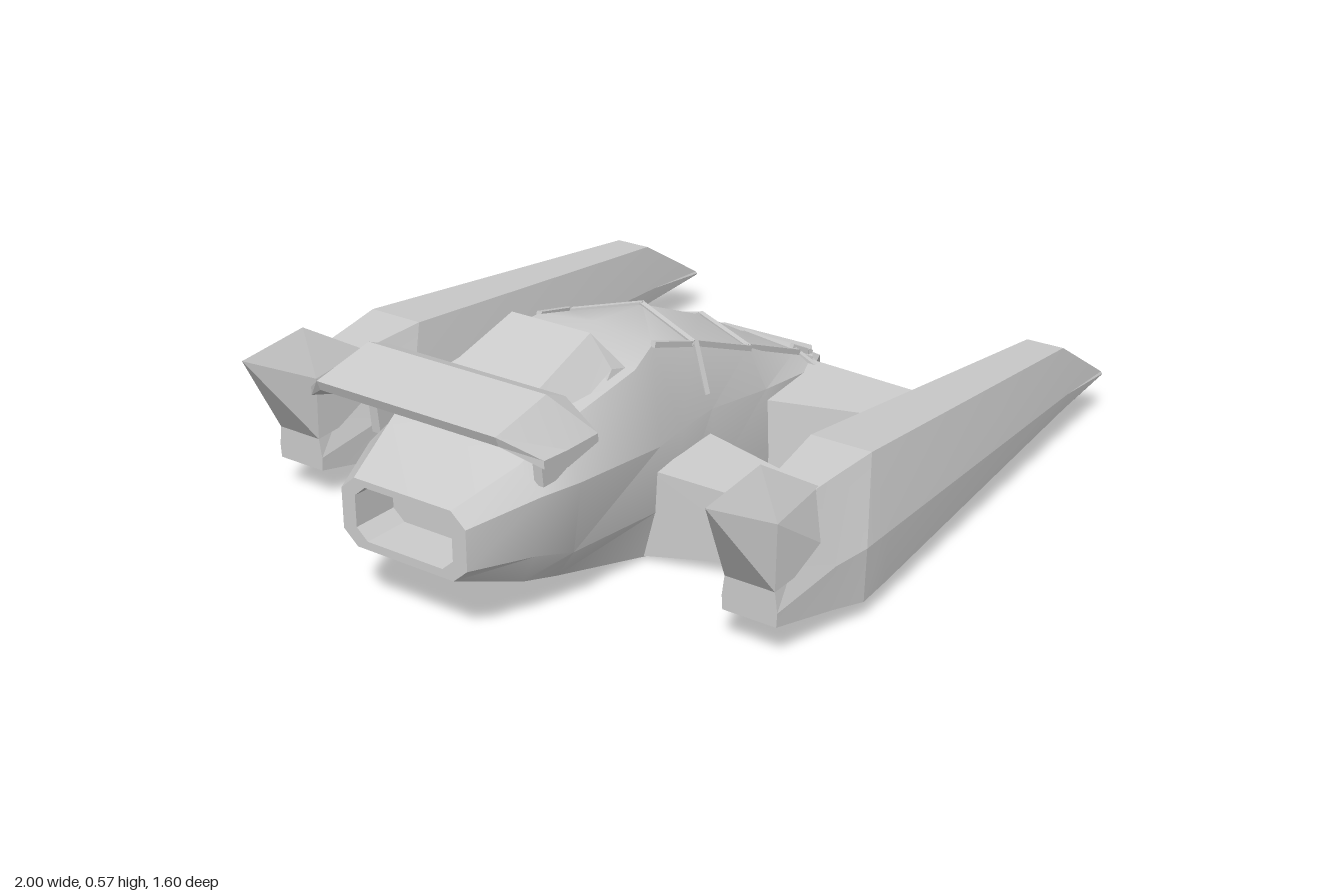
import * as THREE from 'three';
import { toCreasedNormals } from 'three/addons/utils/BufferGeometryUtils.js';
import { ConvexGeometry } from 'three/addons/geometries/ConvexGeometry.js';

const grey = new THREE.MeshStandardMaterial({ color: 0xcccccc, side: THREE.DoubleSide });

// Turns a list of polygons (arrays of [x,y,z]) into a geometry
function polys(faces, crease = 0.3) {
  const pos = [];
  for (const f of faces)
    for (let i = 1; i < f.length - 1; i++) pos.push(...f[0], ...f[i], ...f[i + 1]);
  const g = new THREE.BufferGeometry();
  g.setAttribute('position', new THREE.Float32BufferAttribute(pos, 3));
  return toCreasedNormals(g, crease);
}

// Skin between rings; skip(j, i) leaves out a side face
function loftFaces(rings, { start = true, end = true, skip = () => false } = {}) {
  const faces = [], n = rings[0].length;
  for (let j = 0; j < rings.length - 1; j++)
    for (let i = 0; i < n; i++) {
      const k = (i + 1) % n;
      if (!skip(j, i)) faces.push([rings[j][i], rings[j + 1][i], rings[j + 1][k], rings[j][k]]);
    }
  if (start) faces.push([...rings[0]]);
  if (end) faces.push([...rings[rings.length - 1]].reverse());
  return faces;
}

// Frame, walls and floor of a recess in the polygon c
function insetFaces(c, s, depth) {
  const v = c.map(p => new THREE.Vector3(...p));
  const mid = v.reduce((a, p) => a.add(p), new THREE.Vector3()).divideScalar(v.length);
  const normal = new THREE.Vector3();
  v.forEach((p, i) => normal.add(p.clone().sub(mid).cross(v[(i + 1) % v.length].clone().sub(mid))));
  normal.normalize();
  const inner = v.map(p => mid.clone().lerp(p, s));
  const floor = inner.map(p => p.clone().addScaledVector(normal, -depth).toArray());
  const rim = inner.map(p => p.toArray());
  const faces = [floor];
  c.forEach((p, i) => {
    const k = (i + 1) % c.length;
    faces.push([p, c[k], rim[k], rim[i]], [rim[i], rim[k], floor[k], floor[i]]);
  });
  return faces;
}

// Mirrored ring across z from half profile pairs [z, y], bottom to top
function ring(x, half, dx = 0, cz = 0) {
  const right = half.map(([z, y]) => [x + (z === 0 ? dx : 0), y, cz + z]);
  const left = half.filter(([z]) => z !== 0).reverse().map(([z, y]) => [x, y, cz - z]);
  return [...right, ...left];
}

function add(parent, name, geometry) {
  const m = new THREE.Mesh(geometry, grey);
  m.name = name;
  parent.add(m);
  return m;
}

const convex = (pts, s = 1) => new ConvexGeometry(pts.map(([x, y, z]) => new THREE.Vector3(x, y, z * s)));

// Slim square rib between two points
function rib(parent, name, a, b, t = 0.014) {
  const A = new THREE.Vector3(...a), B = new THREE.Vector3(...b);
  const m = add(parent, name, new THREE.BoxGeometry(t, t, A.distanceTo(B) + t * 0.5));
  m.position.copy(A).add(B).multiplyScalar(0.5);
  m.lookAt(B);
}

export function createModel() {
  const model = new THREE.Group();
  const craft = new THREE.Group();
  craft.name = 'craft';
  craft.rotation.y = 0.022;
  model.add(craft);

  // Hull with canopy: x, forward offset of the centre line, half profile
  const hull = [
    [-1.0, 0, [[.14, .165], [.18, .2], [.18, .3], [.14, .335], [0, .335]]],
    [-.83, 0, [[.19, .105], [.23, .18], [.25, .33], [.19, .39], [0, .4]]],
    [-.72, 0, [[.2, .075], [.25, .15], [.275, .33], [.21, .44], [0, .46]]],
    [-.42, 0, [[.23, .005], [.26, .13], [.27, .3], [.2, .475], [0, .495]]],
    [-.31, 0, [[.24, .003], [.255, .12], [.255, .3], [.17, .495], [0, .515]]],
    [-.17, .05, [[.25, 0], [.25, .11], [.245, .3], [.185, .455], [0, .497]]],
    [.08, .05, [[.25, 0], [.245, .1], [.235, .26], [.18, .36], [0, .39]]],
    [.33, .01, [[.21, .055], [.215, .1], [.215, .225], [.16, .262], [0, .272]]],
    [.385, 0, [[.2, .08], [.2, .1], [.2, .22], [.16, .24], [0, .245]]],
  ].map(([x, dx, half]) => ring(x, half, dx));
  add(craft, 'hull', polys(loftFaces(hull, { start: false }), 0.5));
  add(craft, 'rearExhaust', polys(insetFaces(hull[0], 0.78, 0.12)));

  // Nose block with recessed mouth
  const nose = [
    ring(.37, [[.19, .09], [.19, .24]]),
    ring(.445, [[.14, .1], [.14, .235]]),
  ];
  add(craft, 'nose', polys(loftFaces(nose, { end: false })));
  add(craft, 'noseMouth', polys(insetFaces([...nose[1]].reverse(), 0.78, 0.05)));
  for (const s of [1, -1])
    add(craft, 'noseCheek', convex([[.37, .1, .2], [.37, .225, .2], [.44, .11, .135], [.44, .22, .135],
      [.472, .13, .15], [.472, .2, .15]], s));

  // Canopy ribs along the bends and around the front window
  for (const j of [5, 6, 7]) {
    rib(craft, 'canopyRib', hull[j][3], hull[j][4]);
    rib(craft, 'canopyRib', hull[j][5], hull[j][4]);
  }
  for (const j of [4, 5, 6])
    for (const i of [3, 5]) rib(craft, 'canopyRail', hull[j][i], hull[j + 1][i]);
  for (const s of [1, -1]) {
    rib(craft, 'sideWindowRib', [-.17, .455, .185 * s], [-.17, .34, .232 * s]);
    rib(craft, 'frontWindowRim', [.33, .262, .16 * s], [.35, .222, .212 * s]);
    rib(craft, 'frontWindowRim', [.33, .27, .16 * s], [.39, .243, .16 * s]);
  }
  rib(craft, 'frontWindowRim', [.385, .245, -.17], [.385, .245, .17]);

  // Roof intake
  const intake = [
    ring(-.74, [[.19, .4], [.13, .48]]),
    ring(-.475, [[.19, .44], [.175, .49], [.115, .565]].slice(1)),
    ring(-.43, [[.17, .485], [.11, .525]]),
  ];
  intake[2] = ring(-.425, [[.18, .475], [.125, .53]]);
  add(craft, 'roofIntake', polys(loftFaces([intake[0], intake[1]], { end: false })));
  const mouth = [[-.43, .48, .18], [-.43, .48, -.18], [-.475, .565, -.115], [-.475, .565, .115]];
  add(craft, 'roofIntakeMouth', polys(insetFaces(mouth, 0.75, 0.05)));
  for (const s of [1, -1])
    add(craft, 'roofIntakeCheek', convex([[-.475, .565, .115], [-.475, .49, .175], [-.43, .48, .18], [-.5, .47, .18]], s));

  // Rear spoiler with drooping ends, on two struts
  const mid = [[-.98, .53], [-.81, .567], [-.745, .54], [-.75, .515], [-.81, .54], [-.97, .505]];
  const tip = [[-.92, .475], [-.84, .47], [-.735, .47], [-.735, .45], [-.84, .43], [-.92, .455]];
  const wing = [[-.335, tip], [-.255, mid], [.255, mid], [.335, tip]];
  add(craft, 'spoiler', polys(loftFaces(wing.map(([z, p]) => p.map(([x, y]) => [x, y, z])))));
  for (const s of [1, -1])
    add(craft, 'spoilerStrut', convex([.225, .25].flatMap(z =>
      [[-.82, .35, z], [-.7, .35, z], [-.84, .545, z], [-.765, .53, z]]), s));

  for (const s of [1, -1]) {
    // Wings joining hull and pods
    add(craft, 'frontWing', convex([
      [.06, 0, .23], [.38, .08, .19], [.06, .235, .2], [.36, .235, .2],
      [.32, .09, .58], [.57, .09, .58], [.32, .17, .58], [.46, .17, .58]], s));
    add(craft, 'rearWing', convex([
      [-.43, .01, .23], [-.18, .01, .23], [-.43, .24, .24], [-.18, .24, .24],
      [-.36, .055, .57], [-.215, .055, .57], [-.36, .2, .57], [-.215, .2, .57]], s));

    // Side pod with a recessed sloping front
    const pod = new THREE.Group();
    pod.name = s > 0 ? 'leftPod' : 'rightPod';
    pod.position.z = 0.67 * s;
    craft.add(pod);
    const body = [
      [-.645, [[.07, .085], [.072, .12], [.065, .17]]],
      [-.47, [[.105, .06], [.11, .17], [.057, .345]]],
      [-.375, [[.128, .045], [.132, .18], [.068, .355]]],
      [-.28, [[.125, .05], [.13, .18], [.08, .365]]],
      [.745, [[.07, .1], [.075, .14], [.052, .265]]],
      [.985, [[.06, .108], [.062, .112], [.058, .118]]],
    ].map(([x, half]) => ring(x, half));
    add(pod, 'podBody', polys(loftFaces(body, { skip: (j, i) => j === 4 && i === 2 }), 0.15));
    add(pod, 'podIntake', polys(insetFaces([body[4][2], body[5][2], body[5][3], body[4][3]], 0.72, 0.018)));

    // Tail fin
    add(pod, 'podFin', convex([[-.815, .42, 0], [-.61, .44, 0],
      ...[1, -1].flatMap(k => [[-.645, .17, .065 * k], [-.64, .33, .065 * k], [-.46, .345, .055 * k], [-.45, .2, .09 * k]])]));
  }
  return model;
}
